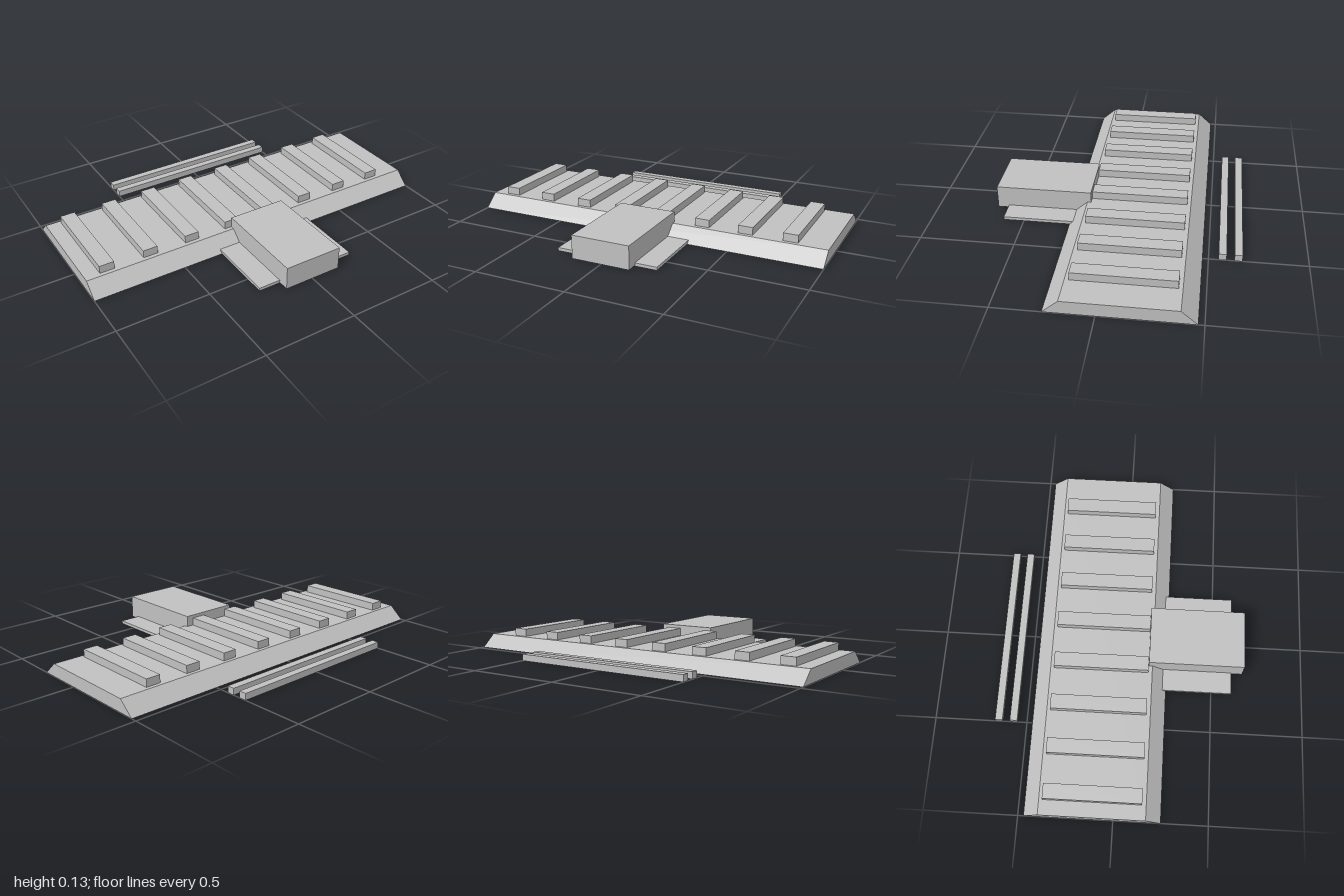
import * as THREE from 'three';

export function createModel() {
  const model = new THREE.Group();
  model.name = 'trackSection';
  const grey = new THREE.MeshStandardMaterial({ color: 0xc0c0c0 });
  grey.name = 'plain grey';

  // Box given by its minimum and maximum on each axis
  const box = (name, [x0, x1], [y0, y1], [z0, z1]) => {
    const mesh = new THREE.Mesh(new THREE.BoxGeometry(x1 - x0, y1 - y0, z1 - z0), grey);
    mesh.position.set((x0 + x1) / 2, (y0 + y1) / 2, (z0 + z1) / 2);
    mesh.name = name;
    model.add(mesh);
  };

  // Ballast bed: trapezoid section swept along x (shape x maps to -z)
  const section = new THREE.Shape([
    new THREE.Vector2(-0.25, 0),
    new THREE.Vector2(0.47, 0),
    new THREE.Vector2(0.39, 0.07),
    new THREE.Vector2(-0.17, 0.07),
  ]);
  const bedGeometry = new THREE.ExtrudeGeometry(section, { depth: 2, bevelEnabled: false });
  bedGeometry.rotateY(Math.PI / 2).translate(-1, 0, 0);
  const bed = new THREE.Mesh(bedGeometry, grey);
  bed.name = 'ballastBed';
  model.add(bed);

  // Sleepers across the bed
  for (let i = 0; i < 8; i++) {
    const x = -0.92 + i * 0.24;
    box('sleeper' + (i + 1), [x, x + 0.08], [0.065, 0.112], [-0.37, 0.148]);
  }

  // Loose rails lying behind the bed
  box('innerRail', [-0.5, 0.5], [0, 0.035], [-0.59, -0.55]);
  box('outerRail', [-0.5, 0.5], [0, 0.035], [-0.67, -0.63]);

  // Ground plate and the stack of three slabs in front
  box('groundPlate', [-0.28, 0.28], [0, 0.017], [0.16, 0.61]);
  const levels = [0.003, 0.044, 0.087, 0.129];
  for (let i = 0; i < 3; i++) {
    box('stackedSlab' + (i + 1), [-0.16, 0.16], [levels[i], levels[i + 1]], [0.15, 0.67]);
  }
  return model;
}
